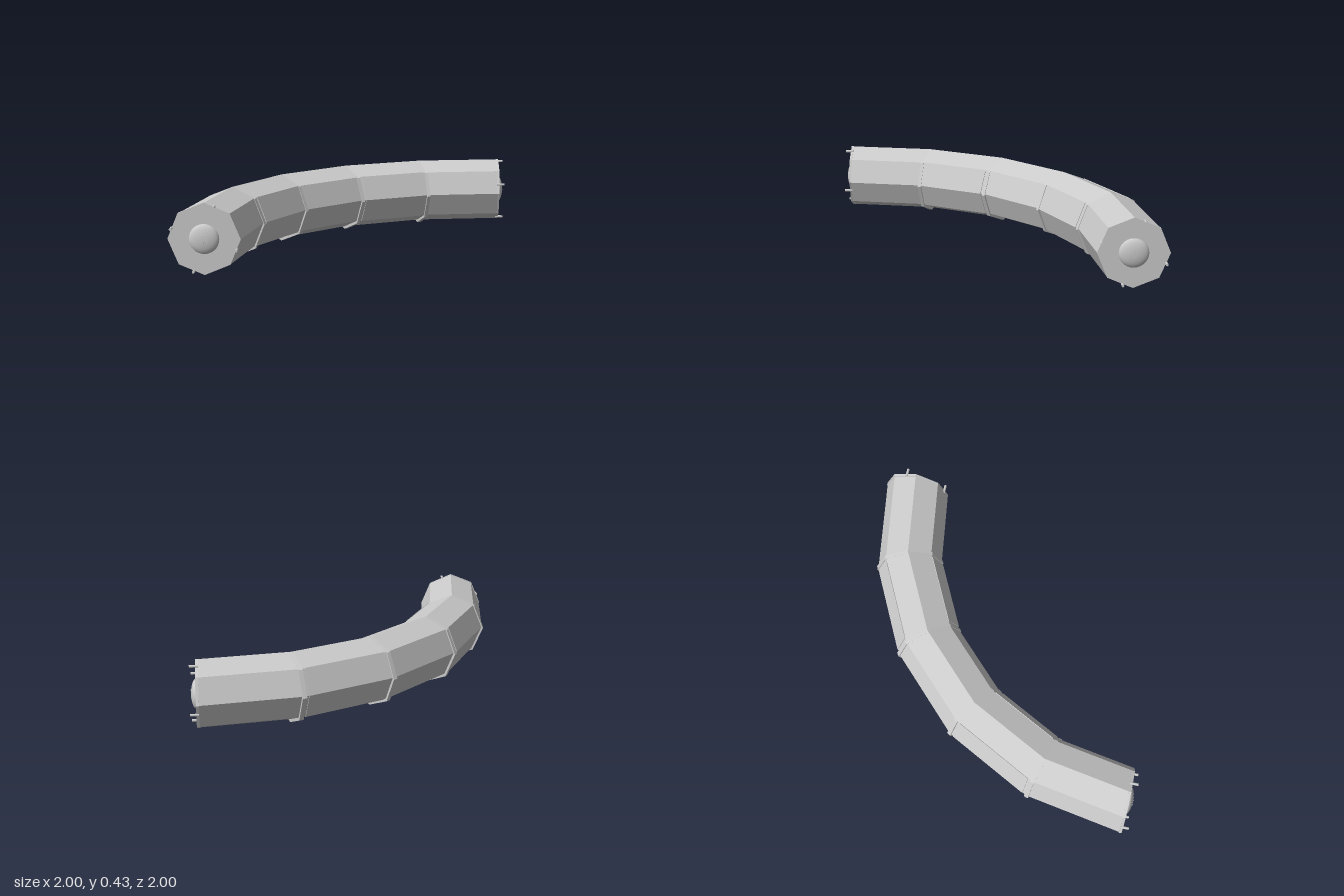
import * as THREE from 'three';

const C = 0.96;        // centre of the bend in x and z
const R = 1.755;       // bend radius
const Y = 0.225;       // height of the tube axis
const RAD = 0.205;     // octagon radius
const SEGMENTS = 5;
const STEP = Math.PI / 2 / SEGMENTS;
const material = new THREE.MeshStandardMaterial({ color: 0xcccccc, flatShading: true });
const smooth = new THREE.MeshStandardMaterial({ color: 0xcccccc });

// Point on an octagon section at bend angle a; corner 0 is the outer side, 2 the top
function corner(a, rad, k, y = Y) {
  const phi = k * Math.PI / 4;
  const rho = R + rad * Math.cos(phi);
  return new THREE.Vector3(C - rho * Math.cos(a), y + rad * Math.sin(phi), C - rho * Math.sin(a));
}

// Straight octagonal piece (or some of its faces) between two sections
function loft(name, s0, s1, rad, { from = 0, to = 8, y = Y, caps = false } = {}) {
  const pos = [];
  const tri = (...pts) => pts.forEach((p) => pos.push(p.x, p.y, p.z));
  for (let k = from; k < to; k++) {
    const [a, b] = [s0(rad, k, y), s0(rad, k + 1, y)];
    const [c, d] = [s1(rad, k, y), s1(rad, k + 1, y)];
    tri(a, b, d);
    tri(a, d, c);
    if (caps) {
      tri(s0(0, 0, y), b, a);
      tri(s1(0, 0, y), c, d);
    } else if (to - from < 8) {
      // thin returns down to the tube at both ends of a panel
      const inner = rad - 0.012;
      const [e, f, g, h] = [s0(inner, k, y), s0(inner, k + 1, y), s1(inner, k, y), s1(inner, k + 1, y)];
      tri(e, f, b); tri(e, b, a);
      tri(c, d, h); tri(c, h, g);
      if (k === from) { tri(e, a, c); tri(e, c, g); }
      if (k === to - 1) { tri(f, d, b); tri(f, h, d); }
    }
  }
  const geo = new THREE.BufferGeometry();
  geo.setAttribute('position', new THREE.Float32BufferAttribute(pos, 3));
  geo.computeVertexNormals();
  const mesh = new THREE.Mesh(geo, material);
  mesh.name = name;
  return mesh;
}

const at = (a) => (rad, k, y) => corner(a, rad, k, y);
// Section part way along the straight segment i
const along = (i, t) => (rad, k, y) =>
  corner(i * STEP, rad, k, y).lerp(corner((i + 1) * STEP, rad, k, y), t);

function part(parent, name, geo, mat, x = 0, y = 0, z = 0) {
  const mesh = new THREE.Mesh(geo, mat);
  mesh.name = name;
  mesh.position.set(x, y, z);
  parent.add(mesh);
  return mesh;
}

// Fittings of one end face, pointing along +z
function endFittings() {
  const end = new THREE.Group();
  end.name = 'endFittings';

  // shallow dome
  const profile = [];
  for (let i = 0; i <= 8; i++) {
    const t = i / 8 * Math.PI / 2;
    profile.push(new THREE.Vector2(0.086 * Math.cos(t), 0.03 * Math.sin(t)));
  }
  profile[8].x = 0;
  part(end, 'dome', new THREE.LatheGeometry(profile, 28), smooth).rotation.x = Math.PI / 2;

  // cross on the dome
  part(end, 'crossBar', new THREE.BoxGeometry(0.05, 0.006, 0.006), material, 0, 0, 0.028);
  part(end, 'crossBar', new THREE.BoxGeometry(0.006, 0.05, 0.006), material, 0, 0, 0.028);

  // four locating pins
  for (let i = 0; i < 4; i++) {
    const t = THREE.MathUtils.degToRad(72 + i * 90);
    const pin = part(end, 'pin', new THREE.CylinderGeometry(0.008, 0.008, 0.05, 10), smooth,
      0.193 * Math.cos(t), 0.193 * Math.sin(t), 0.009);
    pin.rotation.x = Math.PI / 2;
  }
  return end;
}

export function createModel() {
  const model = new THREE.Group();
  model.name = 'curvedTube';

  // tube segments
  for (let i = 0; i < SEGMENTS; i++) {
    model.add(loft('tubeSegment', at(i * STEP), at((i + 1) * STEP), RAD));
  }

  // collars over the joints
  for (let i = 1; i < SEGMENTS; i++) {
    model.add(loft('collar', at(i * STEP - 0.007), at(i * STEP + 0.007), 0.214, { y: 0.216, caps: true }));
  }

  // raised panels on the outer and inner sides of alternate segments
  for (const i of [1, 3]) {
    for (const from of [-1, 3]) {
      model.add(loft('sidePanel', along(i, 0.05), along(i, 0.95), RAD + 0.004, { from, to: from + 2 }));
    }
  }

  // end plates
  for (const a of [0, Math.PI / 2 - 0.009]) {
    model.add(loft('endPlate', at(a), at(a + 0.009), RAD + 0.002, { caps: true }));
  }

  // fittings on both end faces
  const front = endFittings();
  front.position.set(C - R, Y, C);
  const side = endFittings();
  side.position.set(C, Y, C - R);
  side.rotation.y = Math.PI / 2;
  model.add(front, side);

  return model;
}
